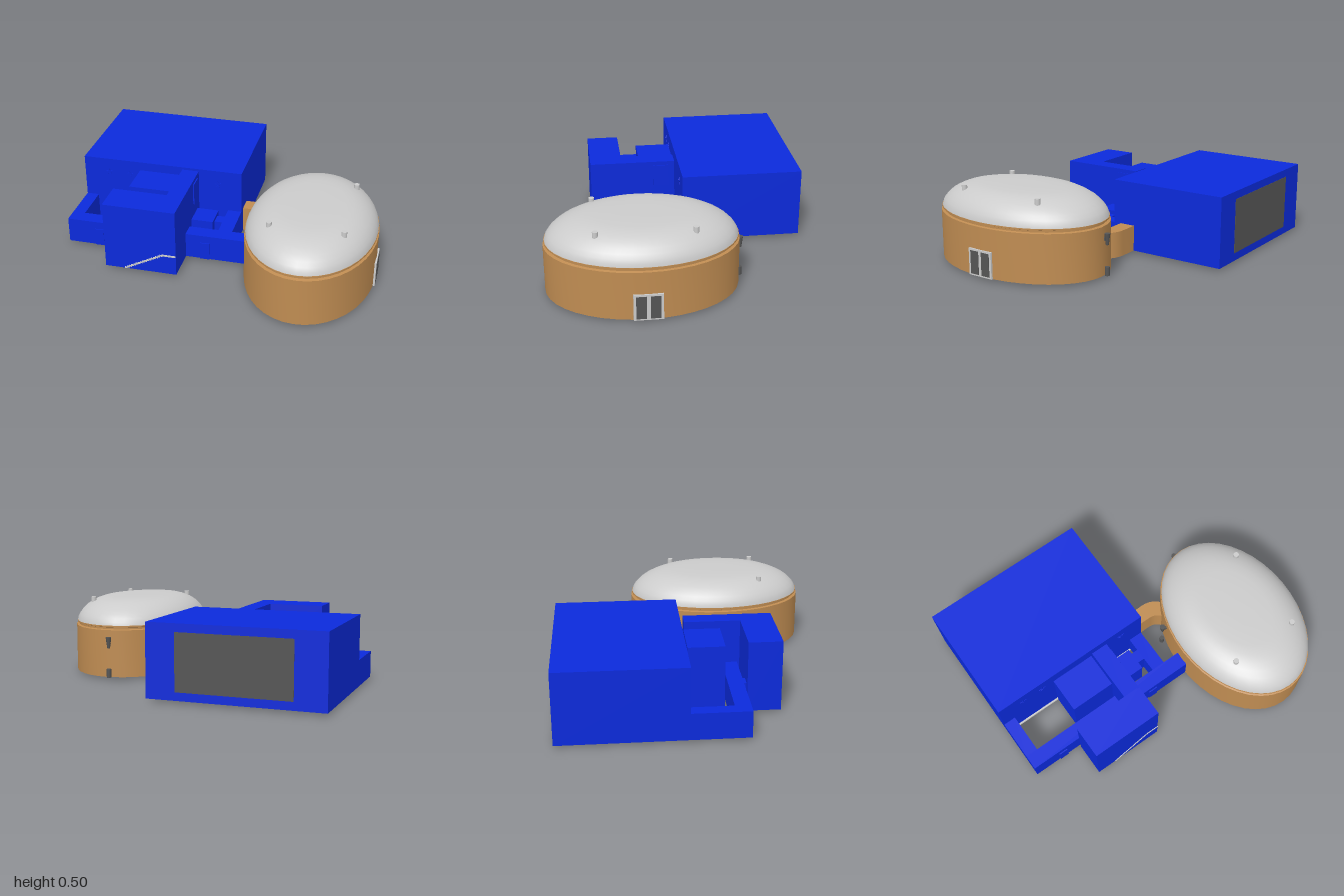
import * as THREE from 'three';
import { toCreasedNormals } from 'three/addons/utils/BufferGeometryUtils.js';

const mat = (color) => new THREE.MeshStandardMaterial({ color });
const BLUE = mat(0x0b2adb), TAN = mat(0xbf8c52), GREY = mat(0xcccccc), DARK = mat(0x555555);
const FLOOR = 0.015;

export function createModel() {
  const model = new THREE.Group();

  const add = (name, geometry, material, parent = model) => {
    const mesh = new THREE.Mesh(geometry, material);
    mesh.name = name;
    parent.add(mesh);
    return mesh;
  };
  // Box given by its limits on each axis
  const box = (name, material, [x0, x1], [y0, y1], [z0, z1], parent) => {
    const g = new THREE.BoxGeometry(x1 - x0, y1 - y0, z1 - z0);
    g.translate((x0 + x1) / 2, (y0 + y1) / 2, (z0 + z1) / 2);
    return add(name, g, material, parent);
  };

  // Main hall with the dark rear panel
  box('mainHall', BLUE, [-1, 0.07], [FLOOR, 0.46], [-0.83, -0.06]);
  box('rearPanel', DARK, [-0.81, -0.11], [0.065, 0.41], [-0.832, -0.82]);

  // Foundation frame under the hall
  const frame = new THREE.Group();
  frame.name = 'foundationFrame';
  model.add(frame);
  for (const x of [-0.91, -0.04]) box('frameSide', GREY, [x, x + 0.02], [0, FLOOR], [-0.68, -0.05], frame);
  for (const z of [-0.68, -0.07]) box('frameEnd', GREY, [-0.89, -0.04], [0, FLOOR], [z, z + 0.02], frame);

  // Outlined stars on the hall front
  const starPoints = (r) => Array.from({ length: 10 }, (_, i) => {
    const a = Math.PI / 2 + i * Math.PI / 5, q = i % 2 ? r * 0.42 : r;
    return new THREE.Vector2(q * Math.cos(a), q * Math.sin(a));
  });
  const star = new THREE.Shape(starPoints(0.026));
  star.holes.push(new THREE.Path(starPoints(0.02)));
  const starGeometry = new THREE.ExtrudeGeometry(star, { depth: 0.004, bevelEnabled: false });
  for (const x of [-0.83, -0.69, -0.09]) add('starOutline', starGeometry, BLUE).position.set(x, 0.365, -0.061);

  // Low corridors around the courtyard
  const low = [FLOOR, 0.18];
  box('frontCorridor', BLUE, [-1, 0.2], low, [0.195, 0.29]);
  box('rightCorridor', BLUE, [-1, -0.92], low, [-0.06, 0.195]);
  box('leftCorridor', BLUE, [-0.02, 0.07], low, [-0.06, 0.195]);
  for (const x of [-0.79, -0.435, -0.085]) box('corridorDoor', BLUE, [x - 0.03, x + 0.03], [FLOOR, 0.13], [0.28, 0.296]);

  // Front tower, its rear wing and the courtyard blocks
  box('frontTower', BLUE, [-0.67, -0.21], [FLOOR, 0.455], [0.305, 0.51]);
  box('towerLink', BLUE, [-0.63, -0.56], low, [0.28, 0.31]);
  box('towerWing', BLUE, [-0.32, -0.21], [FLOOR, 0.455], [-0.04, 0.31]);
  box('wingWindow', BLUE, [-0.22, -0.203], [0.29, 0.43], [0.0, 0.1]);
  box('courtyardBlock', BLUE, [-0.61, -0.325], [FLOOR, 0.41], [-0.045, 0.18]);
  box('hallLink', BLUE, [-0.57, -0.36], low, [-0.065, -0.04]);
  box('lowBlock', BLUE, [-0.215, -0.07], [FLOOR, 0.205], [0, 0.15]);
  box('blockLink', BLUE, [-0.075, -0.015], low, [0.025, 0.1]);

  // Stepped line climbing the tower front to a landing
  const steps = 17;
  for (let i = 0; i < steps; i++) {
    const x = -0.545 + i * 0.0145, y = FLOOR + i * 0.0076;
    box('stairStep', GREY, [x, x + 0.0175], [y, y + 0.011], [0.505, 0.514]);
  }
  box('stairLanding', GREY, [-0.3, -0.21], [0.14, 0.151], [0.505, 0.514]);

  // Curved passage from the hall to the oval building
  const passage = new THREE.Shape();
  passage.moveTo(0.06, 0.21);
  passage.lineTo(0.19, 0.21);
  passage.quadraticCurveTo(0.28, 0.21, 0.33, 0.12);
  passage.lineTo(0.26, 0.06);
  passage.quadraticCurveTo(0.23, 0.11, 0.18, 0.11);
  passage.lineTo(0.06, 0.11);
  const passageGeometry = new THREE.ExtrudeGeometry(passage, { depth: 0.165, bevelEnabled: false, curveSegments: 10 });
  passageGeometry.rotateX(-Math.PI / 2).translate(0, FLOOR, 0);
  add('curvedPassage', toCreasedNormals(passageGeometry, 0.6), TAN);

  // Oval building: walls with a grooved rim, and a domed roof
  const oval = new THREE.Group();
  oval.name = 'ovalBuilding';
  model.add(oval);
  const cx = 0.585, cz = 0.25, rx = 0.405, rz = 0.58;
  const ovalLathe = (profile, crease) => {
    const g = new THREE.LatheGeometry(profile.map(([r, y]) => new THREE.Vector2(r, y)), 40);
    g.scale(rx, 1, rz).translate(cx, 0, cz);
    return toCreasedNormals(g, crease);
  };
  add('ovalWall', ovalLathe([[0, FLOOR], [1, FLOOR], [1, 0.318], [0.965, 0.322], [0.965, 0.333],
    [0.99, 0.337], [0.99, 0.346], [0.9, 0.346]], 0.5), TAN, oval);
  add('domedRoof', ovalLathe([[0.985, 0.346], [0.975, 0.365], [0.95, 0.388], [0.91, 0.412], [0.855, 0.436],
    [0.78, 0.458], [0.7, 0.475], [0.6, 0.488], [0.48, 0.494], [0.25, 0.497], [0, 0.497]], 0.7), GREY, oval);

  // Posts running through the building, showing as roof vents and feet
  const post = new THREE.CylinderGeometry(0.017, 0.017, 0.49, 12);
  for (const [x, z] of [[0.37, 0.53], [0.81, 0.53], [0.81, -0.04]])
    add('roofPost', post, GREY, oval).position.set(x, 0.25, z);
  box('floorSlot', DARK, [0.79, 0.83], [0.008, FLOOR + 0.005], [0.16, 0.34], oval);

  // Double door on the left side
  const door = new THREE.Group();
  door.name = 'doubleDoor';
  oval.add(door);
  box('doorFrame', GREY, [0.95, 0.997], [FLOOR, 0.18], [0.165, 0.337], door);
  for (const z of [0.18, 0.262]) box('doorPane', DARK, [0.96, 1], [0.025, 0.168], [z, z + 0.06], door);

  // Wall lamps with a short bollard below each
  const lampGeometry = new THREE.CylinderGeometry(0.018, 0.009, 0.07, 10);
  const bollardGeometry = new THREE.CylinderGeometry(0.015, 0.015, 0.055, 12);
  for (const [x, z] of [[0.55, -0.345], [0.187, 0.02]]) {
    const lamp = new THREE.Group();
    lamp.name = 'wallLamp';
    lamp.position.set(x, 0, z);
    lamp.rotation.y = Math.atan2((x - cx) / rx ** 2, (z - cz) / rz ** 2);
    oval.add(lamp);
    add('lampShade', lampGeometry, DARK, lamp).position.y = 0.24;
    box('lampBracket', DARK, [-0.008, 0.008], [0.23, 0.25], [-0.03, 0], lamp);
    add('bollard', bollardGeometry, DARK, lamp).position.y = 0.043;
  }
  return model;
}
